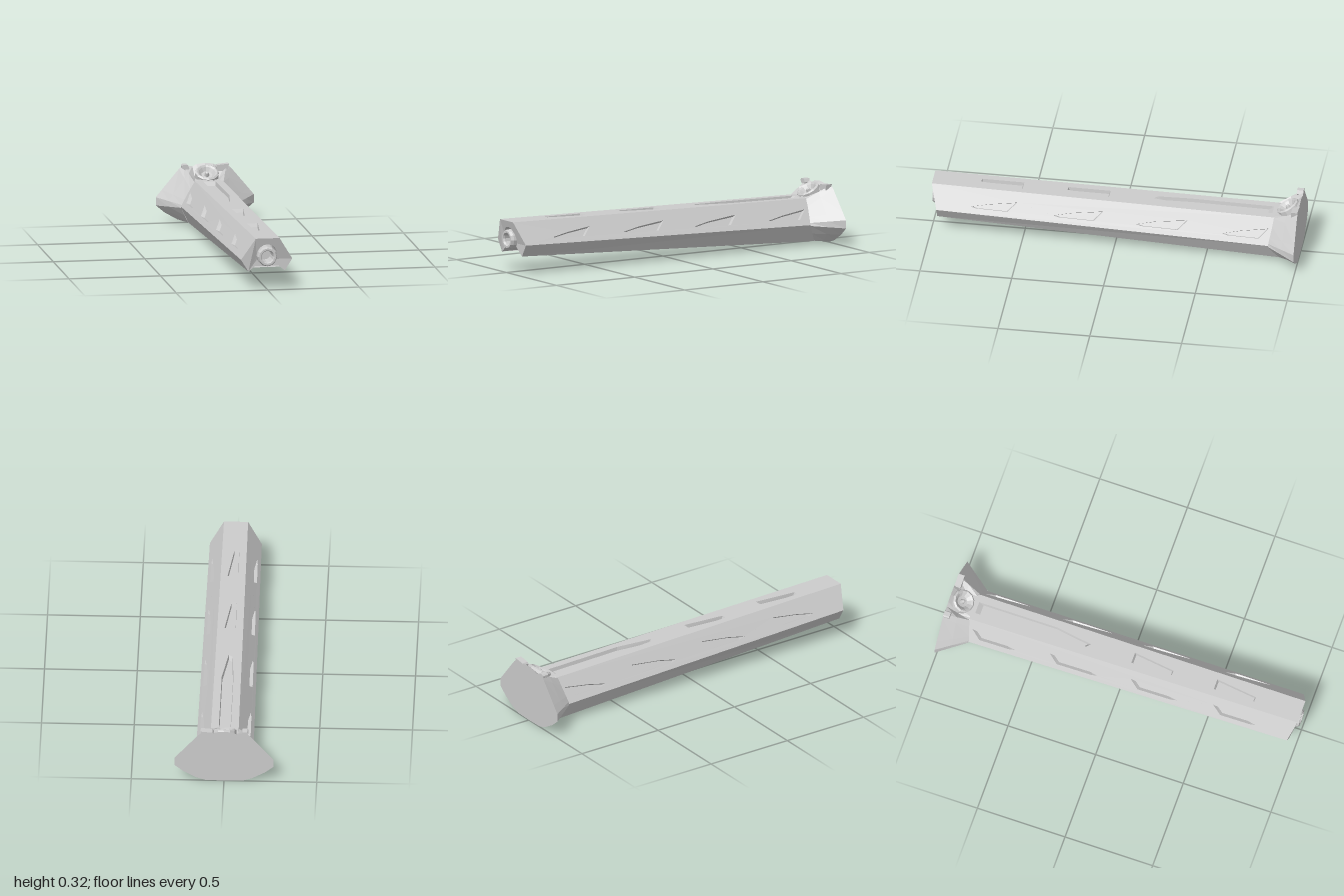
import * as THREE from 'three';
import { mergeGeometries } from 'three/addons/utils/BufferGeometryUtils.js';

const material = new THREE.MeshStandardMaterial({ color: 0xcccccc, flatShading: true, side: THREE.DoubleSide });
const V = (x, y, z) => new THREE.Vector3(x, y, z);

function add(parent, name, geometry) {
  const mesh = new THREE.Mesh(geometry, material);
  mesh.name = name;
  parent.add(mesh);
  return mesh;
}

// Surface through rows of points, all rows of equal length
function loft(rows, closed = false) {
  const n = rows[0].length, index = [];
  for (let r = 0; r + 1 < rows.length; r++)
    for (let i = 0; i < (closed ? n : n - 1); i++) {
      const a = r * n + i, b = r * n + (i + 1) % n;
      index.push(a, b, a + n, b, b + n, a + n);
    }
  const geo = new THREE.BufferGeometry().setFromPoints(rows.flat());
  geo.setIndex(index);
  geo.computeVertexNormals();
  return geo;
}

// Flat outline (with holes) triangulated, then each vertex placed by a rule
function mapped(outline, holes, place) {
  const shape = new THREE.Shape(outline.map(([a, b]) => new THREE.Vector2(a, b)));
  holes.forEach(h => shape.holes.push(new THREE.Path(h.map(([a, b]) => new THREE.Vector2(a, b)))));
  const flat = new THREE.ShapeGeometry(shape), p = flat.attributes.position, points = [];
  for (let i = 0; i < p.count; i++) points.push(place(p.getX(i), p.getY(i)));
  const geo = new THREE.BufferGeometry().setFromPoints(points);
  geo.setIndex(flat.index);
  geo.computeVertexNormals();
  return geo;
}

const BACK = -0.9;
const edge = (front, back) => ({ front, at: z => front.clone().lerp(back, (front.z - z) / (front.z - back.z)) });
const mirrored = e => ({ front: e.front.clone().setX(-e.front.x), at: z => { const p = e.at(z); p.x *= -1; return p; } });

// One long face of the body between two edges, with pockets given in (z, fraction across)
function panel(a, b, slots, start) {
  const place = (z, t) => a.at(z).lerp(b.at(z), t);
  const mid = place(0, 0.5);
  const inward = b.at(0).sub(a.at(0)).cross(a.at(-0.5).sub(a.at(0))).normalize();
  if (inward.dot(V(0, 0.15, 0).sub(mid)) < 0) inward.negate();
  const parts = [mapped([[start ?? a.front.z, 0], [BACK, 0], [BACK, 1], [start ?? b.front.z, 1]], slots, place)];
  for (const slot of slots) {
    const cz = slot.reduce((s, p) => s + p[0], 0) / slot.length;
    const ct = slot.reduce((s, p) => s + p[1], 0) / slot.length;
    const sink = (z, t) => place(z, t).addScaledVector(inward, 0.02);
    const floor = slot.map(([z, t]) => [cz + (z - cz) * 0.93, ct + (t - ct) * 0.9]);
    parts.push(loft([slot.map(p => place(...p)), floor.map(p => sink(...p))], true));
    parts.push(mapped(floor, [], sink));
  }
  return mergeGeometries(parts);
}

function buildBody(group) {
  const top = edge(V(0.065, 0.285, 1), V(0.075, 0.25, BACK));
  const side = edge(V(0.14, 0.165, 0.965), V(0.155, 0.115, BACK));
  const low = edge(V(0.1, 0.1, 0.965), V(0.105, 0.018, BACK));

  // Tapering pockets
  const sideSlots = [[0.78, 0.53], [0.33, 0.06], [-0.12, -0.4], [-0.59, -0.84]].map(([f, r]) =>
    [[f, 0.73], [f - 0.1, 0.57], [r, 0.4], [r + 0.05, 0.78], [f - 0.03, 0.78]]);
  const topSlots = [[0.74, 0.51], [0.27, 0.04]].map(([f, r]) => [[f, 0.5], [f, 0.7], [r, 0.72], [r, 0.28]]);
  topSlots.push([[-0.2, 0.5], [-0.22, 0.65], [-0.4, 0.72], [-0.85, 0.72], [-0.85, 0.28], [-0.4, 0.28]]);
  const lowSlots = [0.22, -0.18, -0.58].map(f => [[f, 0.36], [f - 0.27, 0.3], [f - 0.25, 0.7]]);

  add(group, 'topPanel', panel(top, mirrored(top), topSlots));
  add(group, 'bottomPanel', panel(low, mirrored(low), lowSlots, 0.82));
  for (const [name, m] of [['left', e => e], ['right', mirrored]]) {
    add(group, name + 'UpperPanel', panel(m(top), m(side), sideSlots));
    add(group, name + 'LowerPanel', panel(m(side), m(low), []));
  }

  // Arched front opening, open underneath
  const arch = [[0.1, 0.1]];
  for (let i = 0; i <= 12; i++) {
    const a = -0.75 + (i / 12) * (Math.PI + 1.5);
    arch.push([0.057 * Math.cos(a), 0.185 + (Math.sin(a) > 0 ? 0.066 : 0.057) * Math.sin(a)]);
  }
  arch.push([-0.1, 0.1]);
  const noseZ = y => 0.965 + 0.035 * THREE.MathUtils.clamp((y - 0.165) / 0.12, 0, 1);
  const nose = [...arch, [-0.14, 0.165], [-0.065, 0.285], [0.065, 0.285], [0.14, 0.165]];
  add(group, 'noseFace', mapped(nose, [], (x, y) => V(x, y, noseZ(y))));
  add(group, 'noseOpening', loft([arch.map(([x, y]) => V(x, y, noseZ(y))), arch.map(([x, y]) => V(x, y, 0.82))]));
  add(group, 'bulkhead', mapped(arch, [], (x, y) => V(x, y, 0.82)));

  // Hollow barrel tip
  const profile = [[0.054, 0], [0.054, 0.165], [0.047, 0.18], [0.037, 0.18], [0.032, 0.17], [0.032, 0.08], [0, 0.08]];
  const barrel = add(group, 'barrel', new THREE.LatheGeometry(profile.map(p => new THREE.Vector2(...p)), 12));
  barrel.rotation.x = Math.PI / 2;
  barrel.position.set(0, 0.183, 0.82);
}

function buildFlare(group) {
  // Half outline, bottom to top: start x, y, z then rear x, y
  const half = [
    [0, 0.017, -0.9, 0, 0.002], [0.07, 0.017, -0.9, 0.1, 0.004], [0.107, 0.019, -0.9, 0.15, 0.02],
    [0.134, 0.065, -0.87, 0.22, 0.06], [0.157, 0.112, -0.845, 0.268, 0.1], [0.152, 0.128, -0.845, 0.268, 0.145],
    [0.137, 0.155, -0.85, 0.235, 0.185], [0.104, 0.21, -0.86, 0.14, 0.298], [0.08, 0.247, -0.865, 0.118, 0.318],
    [0.06, 0.253, -0.87, 0.068, 0.308], [0.03, 0.253, -0.87, 0.045, 0.32], [0, 0.253, -0.87, 0, 0.325]];
  const ring = k => {
    // The top is dished midway to seat the socket
    const pts = half.map(([x, y, z, X, Y], i) => V(
      x + (X - x) * k, y + (Y - y) * k - (i > 8 && k === 0.5 ? 0.03 : 0), z + (-1 - z) * k));
    return [...pts, ...pts.slice(1, -1).reverse().map(p => V(-p.x, p.y, p.z))];
  };
  const rows = [0, 0.5, 1].map(ring);
  add(group, 'flare', loft(rows, true));
  add(group, 'rearFace', mapped(rows[2].map(p => [p.x, p.y]), [], (x, y) => V(x, y, -1)));

  // Upturned socket with a central pin
  const socket = new THREE.Group();
  socket.name = 'socket';
  const bowl = [[0.066, -0.03], [0.064, 0.004], [0.055, 0.01], [0.046, 0.004], [0.03, -0.014], [0.014, -0.016], [0.01, 0.004], [0, 0.008]];
  add(socket, 'socketBowl', new THREE.LatheGeometry(bowl.map(p => new THREE.Vector2(...p)), 12));
  socket.position.set(0, 0.283, -0.928);
  socket.rotation.x = 0.52;
  group.add(socket);

  // Small locking prongs beside the socket
  const prong = (name, outline, depth) => {
    const shape = new THREE.Shape(outline.map(p => new THREE.Vector2(...p)));
    add(group, name, new THREE.ExtrudeGeometry(shape, { depth, bevelEnabled: false })).position.z = -1;
  };
  prong('leftProng', [[0.065, 0.285], [0.12, 0.285], [0.126, 0.323], [0.062, 0.317], [0.056, 0.306]], 0.035);
  prong('rightProng', [[-0.13, 0.305], [-0.1, 0.285], [-0.09, 0.305], [-0.1, 0.324], [-0.125, 0.324], [-0.131, 0.317]], 0.035);
}

export function createModel() {
  const model = new THREE.Group();
  model.name = 'slottedBarrelGuard';
  const body = new THREE.Group();
  body.name = 'body';
  buildBody(body);
  const rear = new THREE.Group();
  rear.name = 'rearCollar';
  buildFlare(rear);
  model.add(body, rear);
  return model;
}
